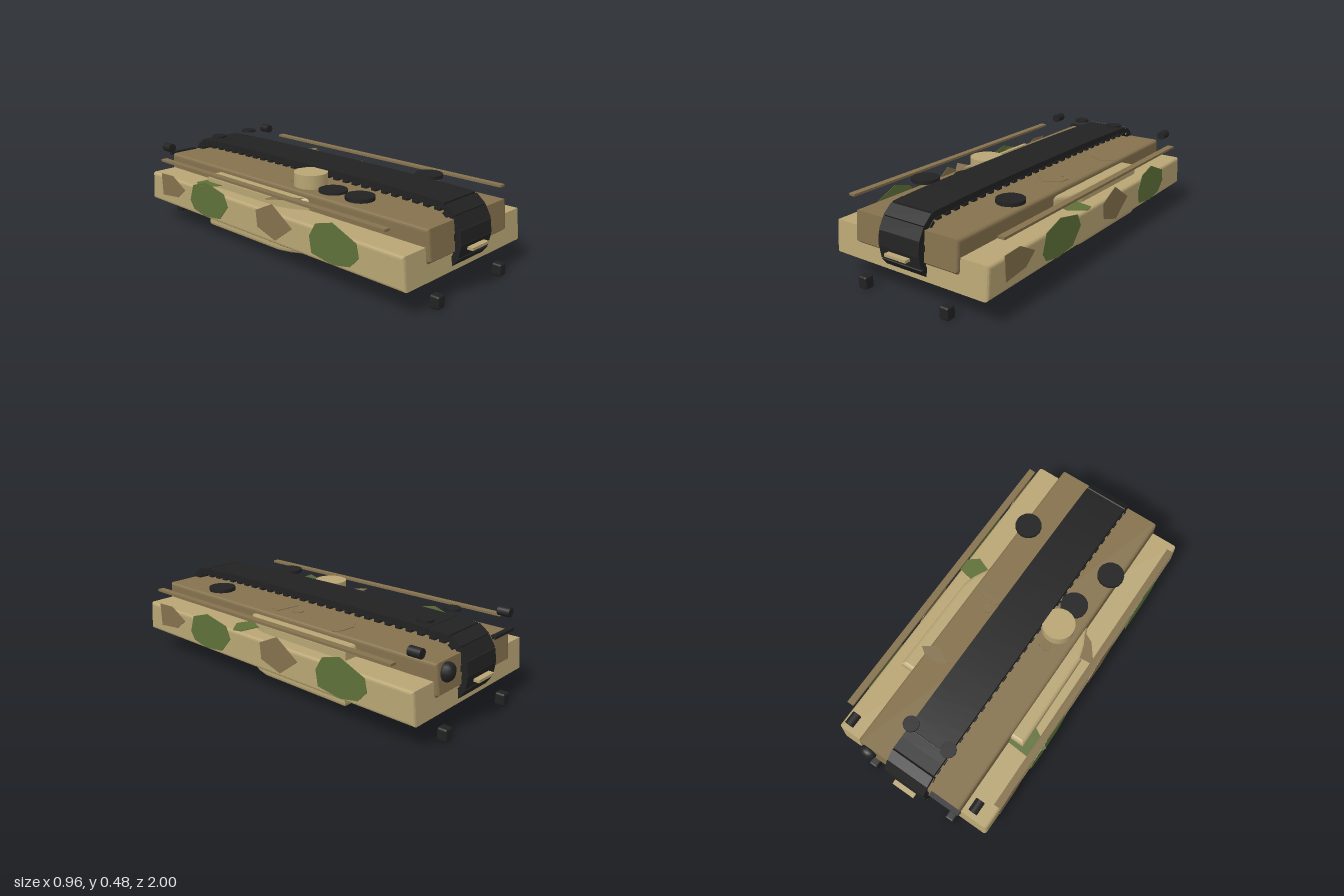
import * as THREE from 'three';
import { mergeGeometries } from 'three/addons/utils/BufferGeometryUtils.js';
import { RoundedBoxGeometry } from 'three/addons/geometries/RoundedBoxGeometry.js';

export function createModel() {
  const model = new THREE.Group();
  const paint = (name, color) => {
    const m = new THREE.MeshStandardMaterial({ color });
    m.name = name;
    return m;
  };
  const tan = paint('tan', 0xb8a574);
  const brown = paint('brown', 0x84714d);
  const green = paint('green', 0x5f7038);
  const black = paint('black', 0x222222);

  const add = (name, geo, mat, x = 0, y = 0, z = 0) => {
    const mesh = new THREE.Mesh(geo, mat);
    mesh.name = name;
    mesh.position.set(x, y, z);
    model.add(mesh);
    return mesh;
  };
  // Bevelled slab of a 2D outline, centred on its thickness
  const slab = (pts, thickness, bevel = 0) => {
    const shape = new THREE.Shape(pts.map(([a, b]) => new THREE.Vector2(a, b)));
    return new THREE.ExtrudeGeometry(shape, {
      depth: thickness - 2 * bevel, bevelEnabled: bevel > 0, bevelSize: bevel,
      bevelThickness: bevel, bevelOffset: -bevel, bevelSegments: 3,
    }).translate(0, 0, bevel - thickness / 2);
  };
  const sideSlab = (...a) => slab(...a).rotateY(-Math.PI / 2); // outline in (z, y)
  const planSlab = (...a) => slab(...a).rotateX(Math.PI / 2);  // outline in (x, z)

  // Lower hull and raised deck
  add('lowerHull', sideSlab([[-0.935, 0.128], [0.935, 0.128], [0.92, 0.287], [-0.92, 0.287]], 0.91, 0.015), tan);
  add('upperHull', sideSlab([[-0.8, 0.1], [0.8, 0.1], [0.945, 0.225], [0.93, 0.37],
    [-0.93, 0.37], [-0.945, 0.225]], 0.61, 0.015), brown);

  // Middle body with a tapering front
  const half = [[0.38, -0.49], [0.375, 0.06], [0.355, 0.13], [0.31, 0.215], [0.23, 0.3], [0.12, 0.345]];
  const outline = [...half, ...half.map(([x, z]) => [-x, z]).reverse()];
  add('middleBody', planSlab(outline, 0.295, 0.02), tan, 0, 0.1975, 0);

  // Closed track loop, one shoe and one cleat per link
  const run = [[0.78, 0.422], [0.88, 0.41], [0.94, 0.345], [0.957, 0.27], [0.935, 0.18],
    [0.84, 0.108], [0.62, 0.056], [0.3, 0.055]];
  const path = new THREE.CatmullRomCurve3([
    ...run.map(([z, y]) => new THREE.Vector3(0, y, z)),
    ...run.slice().reverse().map(([z, y]) => new THREE.Vector3(0, y, -z)),
  ], true, 'centripetal');
  const links = 68;
  const pitch = path.getLength() / links;
  const parts = [];
  for (let i = 0; i < links; i++) {
    const p = path.getPointAt(i / links);
    const t = path.getTangentAt(i / links);
    const turn = Math.atan2(-t.y, t.z);
    // Travel runs clockwise, so local -y points outward
    const shoe = new THREE.BoxGeometry(0.24, 0.032, pitch * 1.04);
    const cleat = new THREE.BoxGeometry(0.25, 0.014, 0.03).translate(0, -0.021, 0);
    for (const g of [shoe, cleat]) parts.push(g.rotateX(turn).translate(p.x, p.y, p.z));
  }
  add('track', mergeGeometries(parts), black);

  // Deck fittings
  add('cupola', new THREE.CylinderGeometry(0.086, 0.086, 0.075, 20), tan, -0.19, 0.4025, 0.115);
  add('deckPlate', new THREE.CylinderGeometry(0.073, 0.073, 0.016, 16), black, -0.19, 0.374, 0.27);
  add('rearBar', new THREE.BoxGeometry(0.17, 0.016, 0.025), black, -0.23, 0.37, -0.938);
  const knob = add('rearLamp', new THREE.SphereGeometry(0.046, 10, 8), black, 0.24, 0.32, -0.945);
  knob.scale.z = 0.75;

  for (const s of [-1, 1]) {
    add('deckHatch', new THREE.CylinderGeometry(0.071, 0.071, 0.019, 16), black, s * 0.262, 0.41, 0.51);
    add('ventCap', new THREE.CylinderGeometry(0.041, 0.041, 0.012, 12), black, s * 0.111, 0.474, -0.73);
    add('deckStud', new THREE.CylinderGeometry(0.03, 0.03, 0.012, 16), brown, s * 0.187, 0.368, 0);
    add('sideRail', new THREE.BoxGeometry(0.036, 0.012, 1.635), brown, s * 0.447, 0.379, 0.008);
    add('lamp', new THREE.CylinderGeometry(0.024, 0.024, 0.065, 14).rotateX(Math.PI / 2), black,
      s * 0.37, 0.427, -0.867);
    for (const z of [0.045, 0.138])
      add('sideStep', new RoundedBoxGeometry(0.028, 0.028, 0.08, 2, 0.006), black, s * 0.391, 0.116, z);
    for (const e of [-1, 1])
      add('towBlock', new RoundedBoxGeometry(0.052, 0.064, 0.052, 2, 0.01), black, s * 0.249, 0.033, e * 0.953);
    // s picks the front or rear end here
    add('endLip', new THREE.BoxGeometry(0.128, 0.014, 0.03), tan, 0, 0.232, s * 0.985);
  }

  // Camouflage on the flanks, the left and right turned about the centre
  const flank = [
    [brown, [[0.82, 0.3], [0.71, 0.305], [0.6, 0.245], [0.67, 0.19], [0.815, 0.175]]],
    [green, [[0.545, 0.205], [0.515, 0.295], [0.4, 0.332], [0.25, 0.3], [0.22, 0.235],
      [0.29, 0.155], [0.42, 0.14], [0.515, 0.16]]],
    [brown, [[0, 0.275], [-0.12, 0.332], [-0.26, 0.24], [-0.14, 0.15], [-0.01, 0.19]]],
    [green, [[-0.38, 0.24], [-0.42, 0.31], [-0.525, 0.34], [-0.67, 0.28], [-0.685, 0.215],
      [-0.635, 0.16], [-0.53, 0.14], [-0.395, 0.16]]],
  ];
  for (const s of [-1, 1])
    for (const [mat, pts] of flank)
      add('flankPatch', sideSlab(pts.map(([z, y]) => [s * z, y]), 0.003), mat, s * (mat === green ? 0.463 : 0.46));

  // Camouflage plates on the upper surfaces
  const topPatches = [
    [green, 0.303, [[-0.48, -0.43], [-0.435, -0.52], [-0.29, -0.51], [-0.3, -0.4], [-0.34, -0.35]]],
    [green, 0.303, [[0.3, 0.2], [0.36, 0.11], [0.465, 0.13], [0.48, 0.175], [0.4, 0.24]]],
    [brown, 0.341, [[-0.445, 0.06], [-0.31, 0.05], [-0.26, 0.13], [-0.3, 0.195], [-0.37, 0.16]]],
    [brown, 0.386, [[0.12, 0.08], [0.155, 0.03], [0.285, 0.05], [0.275, 0.11], [0.19, 0.155]]],
    [brown, 0.386, [[0.165, -0.365], [0.215, -0.397], [0.295, -0.392], [0.333, -0.365], [0.265, -0.32]]],
  ];
  for (const [mat, y, pts] of topPatches) add('topPatch', planSlab(pts, 0.003), mat, 0, y, 0);

  return model;
}
